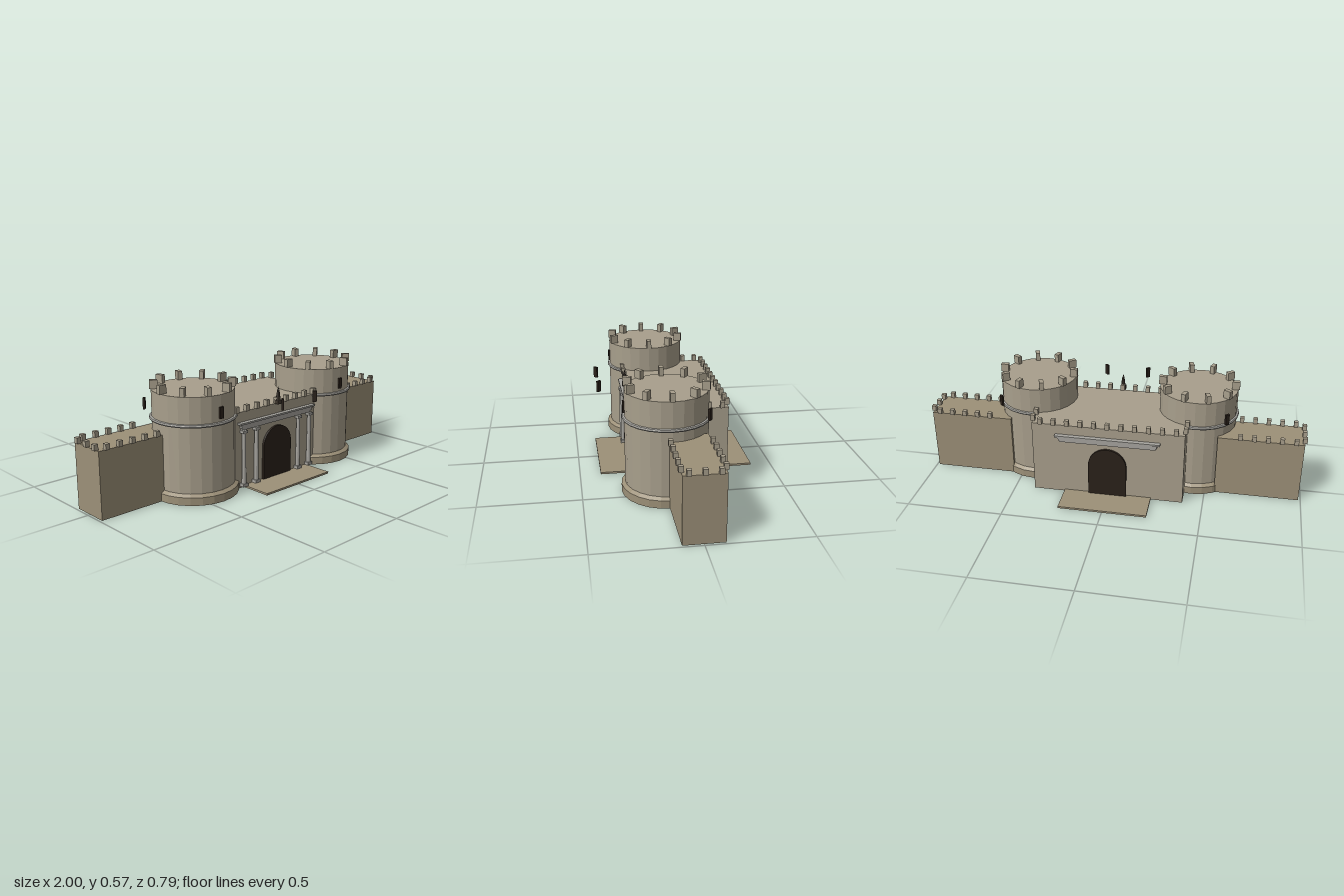
import * as THREE from 'three';

const mat = (color) => new THREE.MeshStandardMaterial({ color, flatShading: true, side: THREE.DoubleSide });
const stone = mat(0xa89f8c);
const wallStone = mat(0x9c9078);
const trim = mat(0xa6a49e);
const dark = mat(0x2a211a);
const bronze = mat(0x40382f);

const SIDES = 24;
const TOWER = { x: 0.43, z: 0.083, r: 0.204, h: 0.527 };

function add(parent, name, geo, material, x = 0, y = 0, z = 0, ry = 0) {
  const mesh = new THREE.Mesh(geo, material);
  mesh.name = name;
  mesh.position.set(x, y, z);
  mesh.rotation.y = ry;
  parent.add(mesh);
  return mesh;
}

// Box standing on its base
function block(w, h, d) {
  return new THREE.BoxGeometry(w, h, d).translate(0, h / 2, 0);
}

// Hollow block without a floor
function shell(w, h, d) {
  const geo = block(w, h, d);
  const index = Array.from(geo.index.array);
  index.splice(18, 6); // bottom face
  geo.setIndex(index);
  return geo;
}

function lathe(points) {
  return new THREE.LatheGeometry(points.map(([r, y]) => new THREE.Vector2(r, y)), SIDES);
}

function makeTower(side) {
  const g = new THREE.Group();
  g.name = side > 0 ? 'leftTower' : 'rightTower';
  g.position.set(side * TOWER.x, 0, TOWER.z);
  const { r, h } = TOWER;
  add(g, 'towerShaft', lathe([[r, 0], [r, h], [0, h]]), stone);
  add(g, 'towerPlinth', lathe([[0.222, 0], [0.222, 0.04], [r, 0.053]]), wallStone);
  add(g, 'towerBand', lathe([[r, 0.38], [0.213, 0.381], [0.216, 0.387], [0.213, 0.394], [r, 0.396]]), trim);

  // Crown of ten merlons
  for (let i = 0; i < 10; i++) {
    const a = (i / 10) * Math.PI * 2;
    add(g, 'towerMerlon', block(0.04, 0.043, 0.023), stone, Math.cos(a) * 0.19, h, Math.sin(a) * 0.19, -a);
  }

  // Arrow slits: front, rear outer, and the detached inner one
  const slits = [[0, 0.206], [side * 0.16, -0.181], [-side * 0.313, 0.302]];
  for (const [x, z] of slits) {
    add(g, 'arrowSlit', block(0.022, 0.057, 0.011), dark, x, 0.412, z, Math.atan2(x, z));
  }
  return g;
}

function makeWall(side) {
  const g = new THREE.Group();
  g.name = side > 0 ? 'leftWall' : 'rightWall';
  const inner = 0.55, outer = 0.988, half = 0.098, h = 0.33;
  add(g, 'curtainWall', shell(outer - inner, h, half * 2), wallStone, side * (inner + outer) / 2, 0, 0);
  const merlon = block(0.022, 0.029, 0.022);
  for (let x = 0.945; x > 0.6; x -= 0.07) {
    for (const z of [-half, half]) add(g, 'wallMerlon', merlon, stone, side * x, h, z);
  }
  for (const z of [-0.07, 0, 0.07]) add(g, 'wallMerlon', merlon, stone, side * outer, h, z);
  return g;
}

function makeDoor() {
  const w = 0.1, spring = 0.18;
  const s = new THREE.Shape();
  s.moveTo(-w, 0);
  s.lineTo(w, 0);
  s.lineTo(w, spring);
  s.absarc(0, spring, w, 0, Math.PI, false);
  s.lineTo(-w, 0);
  return new THREE.ExtrudeGeometry(s, { depth: 0.012, bevelEnabled: false, curveSegments: 12 });
}

// Stepped moulding over a doorway, projecting toward +z from the wall face
function addCornice(parent) {
  const steps = [[0.5, 0.304, 0.012, 0.010], [0.51, 0.314, 0.014, 0.014], [0.525, 0.328, 0.007, 0.018], [0.545, 0.335, 0.009, 0.024]];
  for (const [w, y, h, d] of steps) {
    add(parent, 'cornice', block(w, h, d), trim, 0, y, d / 2);
  }
}

function makeColumn() {
  const g = new THREE.Group();
  g.name = 'column';
  add(g, 'columnBase', block(0.032, 0.016, 0.028), trim, 0, 0.01);
  add(g, 'columnShaft', new THREE.CylinderGeometry(0.010, 0.012, 0.264, 12), trim, 0, 0.158);
  add(g, 'columnCapital', block(0.03, 0.014, 0.026), trim, 0, 0.29);
  return g;
}

function makeGatehouse() {
  const g = new THREE.Group();
  g.name = 'gatehouse';
  const hx = 0.395, hz = 0.23, h = 0.396;
  add(g, 'gatehouseBody', shell(hx * 2, h, hz * 2), stone);
  add(g, 'threshold', block(0.46, 0.01, 0.79), wallStone);

  // Battlements on all four edges
  const merlon = block(0.022, 0.032, 0.022);
  for (let i = -5; i <= 5; i++) {
    for (const z of [-hz, hz]) add(g, 'gatehouseMerlon', merlon, stone, i * 0.07, h, z);
  }
  for (let i = -3; i <= 3; i++) {
    for (const x of [-hx, hx]) add(g, 'gatehouseMerlon', merlon, stone, x, h, i * 0.066);
  }

  // Doorway and cornice on both faces
  for (const turn of [0, Math.PI]) {
    const face = new THREE.Group();
    face.name = turn ? 'backPortal' : 'frontPortal';
    face.rotation.y = turn;
    face.position.z = turn ? -hz : hz;
    add(face, 'door', makeDoor(), dark);
    addCornice(face);
    g.add(face);
  }

  // Paired columns at the front
  for (const x of [-0.24, -0.155, 0.155, 0.24]) {
    const c = makeColumn();
    c.position.set(x, 0, hz + 0.012);
    g.add(c);
  }

  // Small statue above the front door
  const statue = new THREE.Group();
  statue.name = 'statue';
  statue.position.set(0, 0.396, 0.242);
  add(statue, 'statuePlinth', block(0.03, 0.02, 0.026), bronze);
  add(statue, 'statueBody', new THREE.CylinderGeometry(0.007, 0.013, 0.045, 8), bronze, 0, 0.042);
  add(statue, 'statueHead', new THREE.SphereGeometry(0.007, 8, 6), bronze, 0, 0.07);
  add(statue, 'statueCrest', new THREE.ConeGeometry(0.004, 0.018, 6), bronze, 0, 0.083);
  g.add(statue);
  return g;
}

export function createModel() {
  const model = new THREE.Group();
  model.name = 'castleGate';
  model.add(makeGatehouse());
  for (const side of [-1, 1]) model.add(makeTower(side), makeWall(side));
  return model;
}
